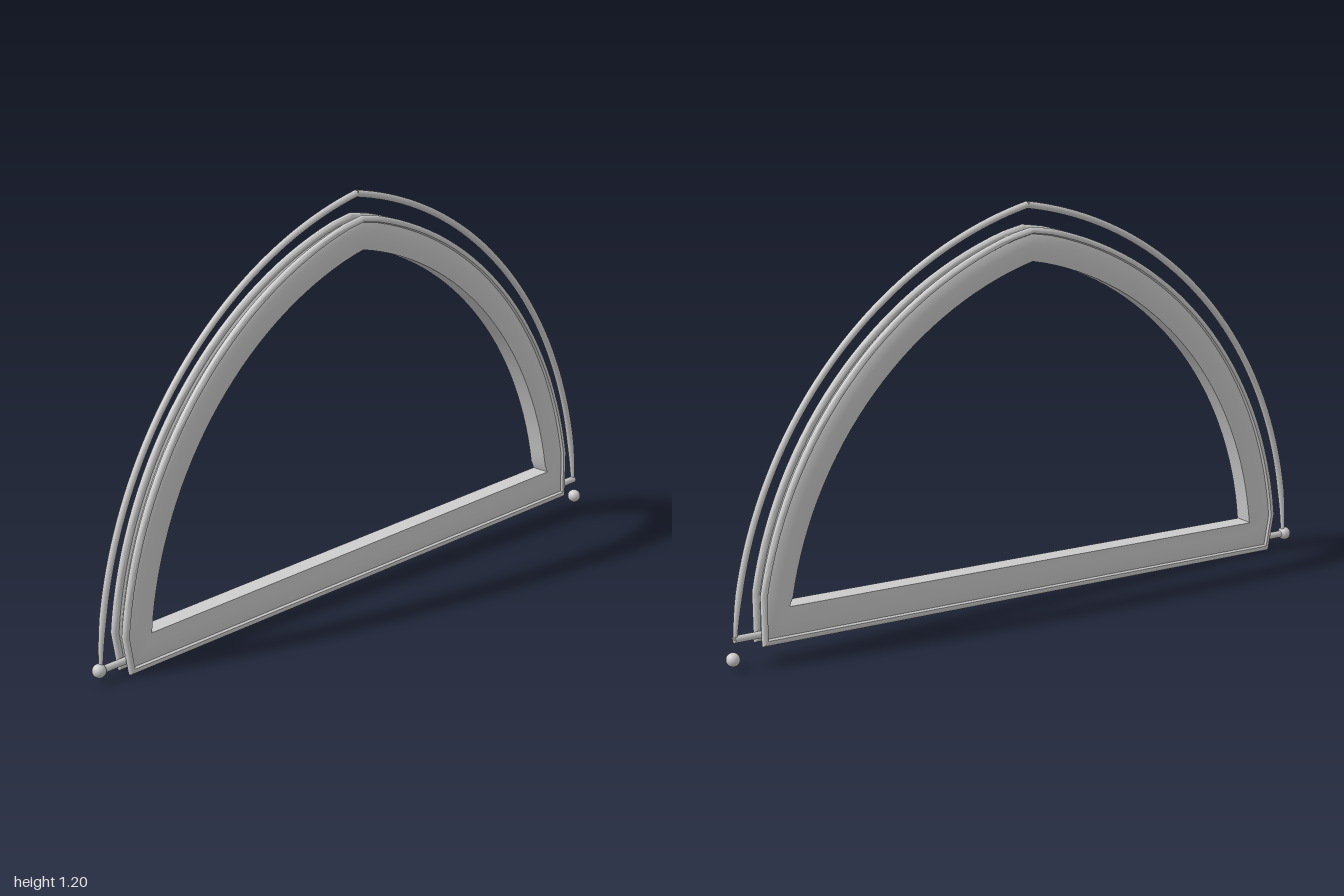
import * as THREE from 'three';
import { mergeVertices, toCreasedNormals } from 'three/addons/utils/BufferGeometryUtils.js';

const CX = 0.24;      // offset of each arc's centre from the middle
const INNER_R = 1.06; // radius of the inner edge of the arch
const DEPTH = 0.1;    // radial depth of the frame
const SEG = 32;

// Point on the left arc, at height y
const arcPoint = (r, a) => [CX - r * Math.cos(a), r * Math.sin(a)];

// Frame stations: [inner point, outer point], clockwise from the lower left corner
function frameStations() {
  const left = [];
  const a1 = Math.acos(CX / INNER_R);
  for (let i = 0; i < SEG; i++) {
    const a = 0.1 + (a1 - 0.1) * (i / SEG);
    left.push([arcPoint(INNER_R, a), arcPoint(INNER_R + DEPTH, a)]);
  }
  const right = left.map(s => s.map(([x, y]) => [-x, y])).reverse();
  return [
    [[-0.82, 0.104], [-0.893, 0.001]],
    ...left,
    [[0, 1.032], [0, 1.131]],
    ...right.slice(0, -2),
    [[0.815, 0.162], [0.9, 0.06]],
  ];
}

// Cross-section [depth fraction, z]: flat inner edge, bulged faces, two rounded rims and a groove
function frameProfile() {
  const half = [[0, 0.029], [0.25, 0.033], [0.5, 0.0335], [0.68, 0.031], [0.8, 0.026]];
  for (let i = 0; i <= 10; i++) {
    const a = THREE.MathUtils.degToRad(115 - i * 25);
    half.push([0.885 + 0.115 * Math.cos(a), 0.0232 + 0.0115 * Math.sin(a)]);
  }
  half.push([0.74, 0.011]);
  return [...half, ...half.map(([u, z]) => [u, -z]).reverse()];
}

// Closed sweep of the cross-section through all stations
function sweepFrame() {
  const stations = frameStations(), profile = frameProfile();
  const n = stations.length, m = profile.length;
  const pos = [], index = [];
  for (const [p, q] of stations) {
    for (const [u, z] of profile) pos.push(p[0] + (q[0] - p[0]) * u, p[1] + (q[1] - p[1]) * u, z);
  }
  for (let i = 0; i < n; i++) {
    for (let k = 0; k < m; k++) {
      const i2 = (i + 1) % n, k2 = (k + 1) % m;
      const a = i * m + k, b = i * m + k2, c = i2 * m + k, d = i2 * m + k2;
      // the profile runs from the front inner edge outwards to the back
      index.push(a, c, b, b, c, d);
    }
  }
  const g = new THREE.BufferGeometry();
  g.setAttribute('position', new THREE.Float32BufferAttribute(pos, 3));
  g.setIndex(index);
  return toCreasedNormals(mergeVertices(g), 0.6);
}

// Half of the outer rod, thinning towards its foot
function rodHalf(side, footY) {
  const r = 1.215, a0 = Math.asin(footY / r), a1 = Math.acos(CX / r);
  const pts = [];
  for (let i = 0; i <= SEG; i++) {
    const [x, y] = arcPoint(r, a0 + (a1 - a0) * (i / SEG));
    pts.push(new THREE.Vector3(-x * side, y, 0));
  }
  const curve = new THREE.CatmullRomCurve3(pts);
  const g = new THREE.TubeGeometry(curve, 48, 0.0105, 10);
  const p = g.attributes.position, c = new THREE.Vector3(), v = new THREE.Vector3();
  for (let i = 0; i < p.count; i++) {
    const t = Math.floor(i / 11) / 48;
    curve.getPointAt(t, c);
    v.fromBufferAttribute(p, i).sub(c).multiplyScalar(Math.min(1, 0.6 + t * 5)).add(c);
    p.setXYZ(i, v.x, v.y, v.z);
  }
  return g;
}

export function createModel() {
  const group = new THREE.Group();
  const metal = new THREE.MeshStandardMaterial({ color: 0xcccccc });
  metal.name = 'pale grey';
  metal.side = THREE.DoubleSide;
  const add = (name, geometry) => {
    const mesh = new THREE.Mesh(geometry, metal);
    mesh.name = name;
    group.add(mesh);
    return mesh;
  };

  add('archFrame', sweepFrame());

  for (const side of [-1, 1]) {
    const label = side > 0 ? 'left' : 'right';
    const pinY = side > 0 ? 0.089 : 0.034;
    add(label + 'OuterRod', rodHalf(side, side > 0 ? 0.088 : 0.045));

    // Short pin joining the frame to the foot of the rod
    const pin = add(label + 'Pin', new THREE.CylinderGeometry(0.0105, 0.0105, 0.1, 12));
    pin.rotation.z = Math.PI / 2 + 0.03;
    pin.position.set(side * 0.925, pinY, 0);

    const ball = add(label + 'Ball', new THREE.SphereGeometry(0.02, 20, 14));
    ball.position.set(side * 0.98, 0.033, 0);
  }
  return group;
}
